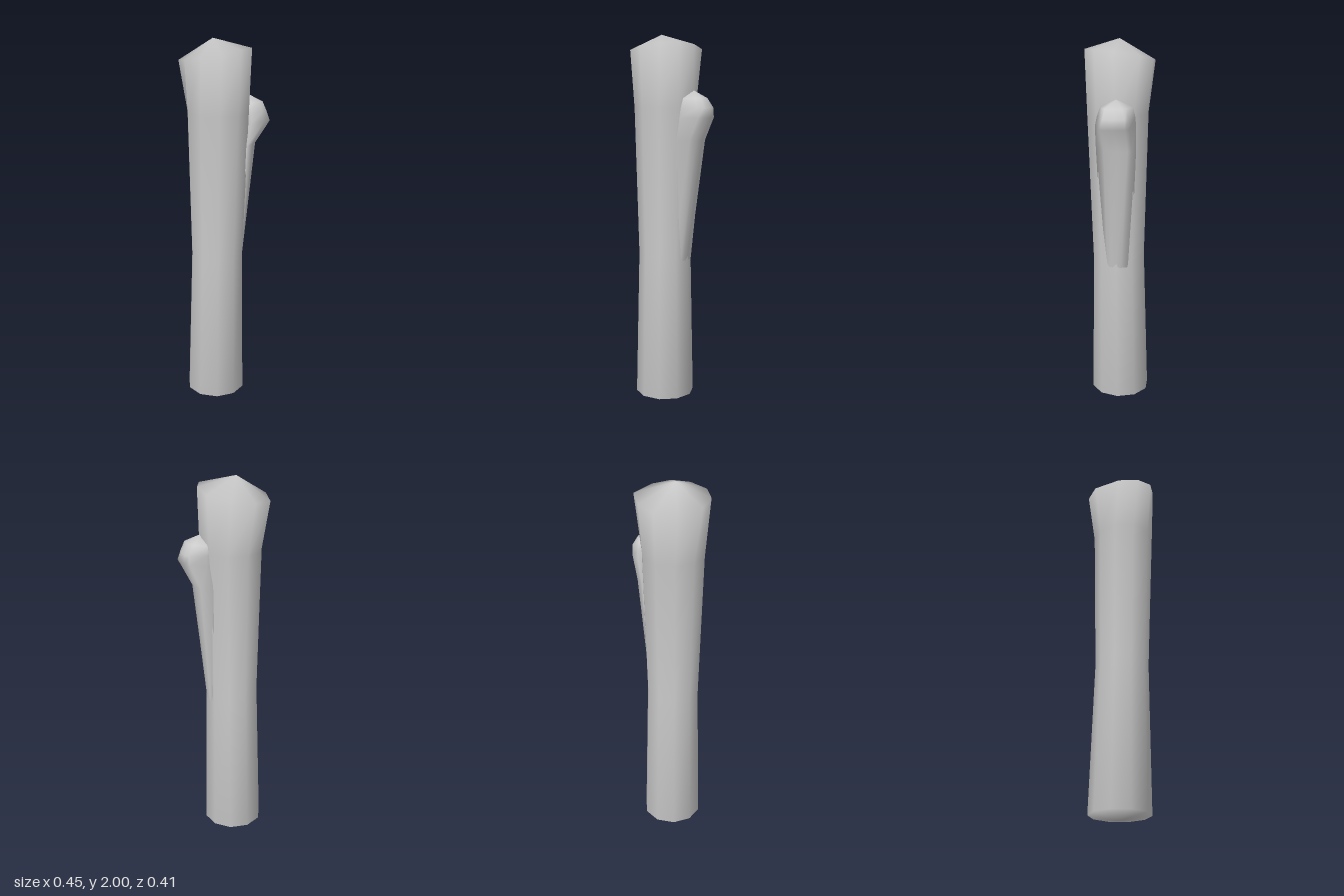
import * as THREE from 'three';

// Smooth closed skin over stacked rings of [x, y, z], with a point at each end
function loft(name, rings, bottom, top, material) {
  const n = rings[0].length;
  const points = [...rings.flat(), bottom, top];
  const low = rings.length * n, high = low + 1, last = low - n;
  const index = [];
  for (let i = 0; i < n; i++) {
    const j = (i + 1) % n;
    for (let r = 0; r < rings.length - 1; r++) {
      const a = r * n, b = a + n;
      index.push(a + i, b + i, a + j, a + j, b + i, b + j);
    }
    index.push(low, i, j, high, last + j, last + i);
  }
  const geometry = new THREE.BufferGeometry();
  geometry.setAttribute('position', new THREE.Float32BufferAttribute(points.flat(), 3));
  geometry.setIndex(index);
  geometry.computeVertexNormals();
  const mesh = new THREE.Mesh(geometry, material);
  mesh.name = name;
  return mesh;
}

// Ten-sided horizontal ring
function ring(y, cx, cz, radius) {
  return Array.from({ length: 10 }, (_, i) => {
    const a = THREE.MathUtils.degToRad(-78 + 36 * i);
    return [cx + radius * Math.cos(a), y, cz + radius * Math.sin(a)];
  });
}

export function createModel() {
  const group = new THREE.Group();
  group.name = 'log';
  const material = new THREE.MeshStandardMaterial({ color: 0xcccccc });

  // Trunk: slight waist, flaring to an uneven, tilted top rim
  const rim = [
    [0.01, -0.18], [0.115, -0.095], [0.16, 0], [0.138, 0.1], [0.065, 0.183],
    [-0.035, 0.205], [-0.14, 0.165], [-0.225, 0.045], [-0.203, -0.07], [-0.11, -0.15],
  ].map(([x, z]) => [x, 1.925 + 0.18 * x, z]);
  group.add(loft('trunk', [
    ring(0.03, -0.035, 0.015, 0.16),
    ring(0.83, -0.025, 0.017, 0.142),
    ring(1.62, -0.018, 0.017, 0.165),
    rim,
  ], [-0.035, 0.005, 0.01], [-0.04, 2, 0.03], material));

  // Branch stub: grows out of the back left of the trunk and swells into a knob
  const level = (y, pts) => pts.map(([x, z]) => [x, y, z]);
  group.add(loft('branchStub', [
    level(0.8, [[0, -0.11], [0.04, -0.11], [0.06, -0.095], [0.08, -0.075], [0.095, -0.05], [0.1, -0.03], [0.1, 0.01], [0, 0]]),
    level(1.45, [[0.0, -0.145], [0.055, -0.172], [0.085, -0.172], [0.122, -0.14], [0.15, -0.1], [0.15, -0.06], [0.142, 0.01], [0, 0]]),
    level(1.57, [[0.02, -0.165], [0.1, -0.2], [0.13, -0.203], [0.18, -0.168], [0.222, -0.122], [0.205, -0.085], [0.16, -0.005], [0, 0]]),
    level(1.62, [[0.025, -0.165], [0.105, -0.2], [0.13, -0.2], [0.172, -0.165], [0.205, -0.118], [0.192, -0.085], [0.155, -0.015], [0, 0]]),
    level(1.67, [[0.03, -0.155], [0.09, -0.17], [0.12, -0.17], [0.155, -0.145], [0.185, -0.11], [0.175, -0.08], [0.145, -0.03], [0.01, -0.01]]),
  ], [0.04, 0.78, -0.04], [0.1, 1.71, -0.1], material));

  return group;
}
